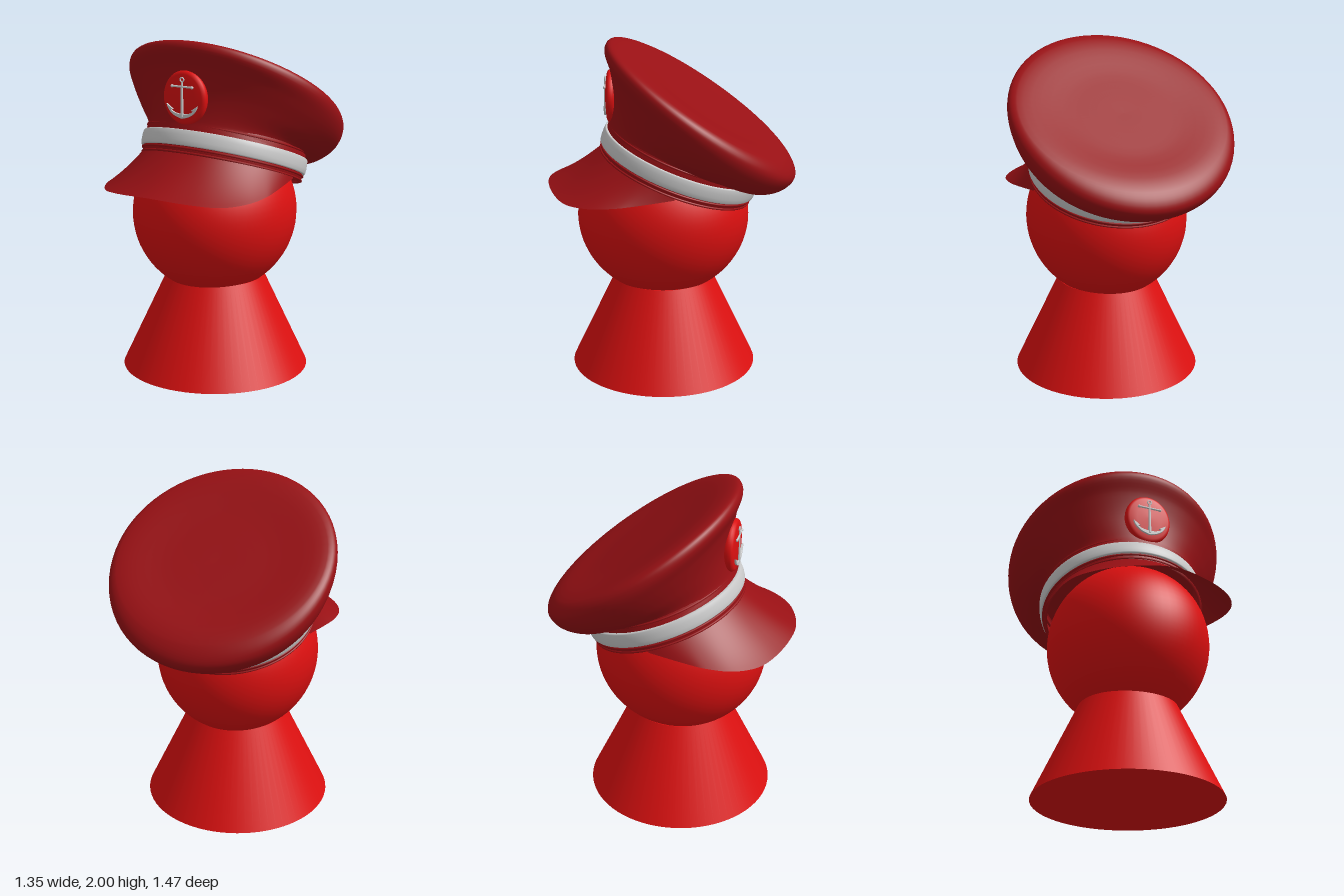
import * as THREE from 'three';

const RED = new THREE.MeshStandardMaterial({ color: 0xdd1010 });
const DARK = new THREE.MeshStandardMaterial({ color: 0x981014, side: THREE.DoubleSide });
const GREY = new THREE.MeshStandardMaterial({ color: 0xcccccc });

function add(parent, name, geometry, material, x = 0, y = 0, z = 0) {
  const mesh = new THREE.Mesh(geometry, material);
  mesh.name = name;
  mesh.position.set(x, y, z);
  parent.add(mesh);
  return mesh;
}

// Surface through a grid of points; point(i, j) returns [x, y, z]
function gridSurface(rows, cols, wrap, point) {
  const pos = [], index = [];
  const stride = wrap ? cols : cols + 1;
  for (let i = 0; i <= rows; i++)
    for (let j = 0; j < stride; j++) pos.push(...point(i / rows, j / cols));
  for (let i = 0; i < rows; i++)
    for (let j = 0; j < cols; j++) {
      const k = (j + 1) % stride;
      const a = i * stride + j, b = i * stride + k;
      index.push(a, b, b + stride, a, b + stride, a + stride);
    }
  const g = new THREE.BufferGeometry();
  g.setAttribute('position', new THREE.Float32BufferAttribute(pos, 3));
  g.setIndex(index);
  g.computeVertexNormals();
  return g;
}

const spline = (pts) => new THREE.CatmullRomCurve3(pts.map((p) => new THREE.Vector3(...p)));
const lathe = (pts) => new THREE.LatheGeometry(pts.map((p) => new THREE.Vector2(...p)), 72);

// Flaring crown: tilted rings, each [front z, front y, back z, back y, half width]
function crownGeometry() {
  const rings = [
    [0.38, 1.5, -0.49, 1.17, 0.485],
    [0.364, 1.55, -0.51, 1.165, 0.482],
    [0.345, 1.7, -0.575, 1.122, 0.565],
    [0.36, 1.85, -0.68, 1.15, 0.645],
    [0.39, 1.962, -0.732, 1.205, 0.673],
    [0.368, 1.998, -0.73, 1.25, 0.668],
    [0.3, 1.982, -0.68, 1.33, 0.625],
    [0.05, 1.808, -0.45, 1.475, 0.32],
    [-0.19, 1.645, -0.19, 1.645, 0],
  ];
  const front = spline(rings.map((r) => [r[4], r[1], r[0]]));
  const back = spline(rings.map((r) => [r[4], r[3], r[2]]));
  return gridSurface(48, 72, true, (u, v) => {
    const f = front.getPoint(u), b = back.getPoint(u);
    const a = v * Math.PI * 2, t = (1 + Math.cos(a)) / 2;
    return [f.x * Math.sin(a), b.y + (f.y - b.y) * t, b.z + (f.z - b.z) * t];
  });
}

// Visor: from the lower rim of the cap out to a squarish drooping edge
function visorGeometry(cap) {
  const half = [
    [0.495, 1.195, -0.02], [0.512, 1.165, 0.2], [0.516, 1.152, 0.32],
    [0.488, 1.14, 0.47], [0.4, 1.135, 0.6], [0.25, 1.148, 0.685],
  ];
  const mirrored = half.map(([x, y, z]) => [-x, y, z]);
  const edge = spline([...mirrored, [0, 1.165, 0.737], ...half.reverse()]);
  cap.updateMatrix();
  return gridSurface(12, 64, false, (u, v) => {
    const a = (v - 0.5) * Math.PI;
    const inner = new THREE.Vector3(0.49 * Math.sin(a), -0.035, 0.478 * Math.cos(a)).applyMatrix4(cap.matrix);
    const p = edge.getPoint(v).lerp(inner, u);
    const sag = 0.07 * u * (1 - u) * Math.cos(a);
    return [p.x, p.y - sag, p.z];
  });
}

function anchorGroup() {
  const g = new THREE.Group();
  g.name = 'anchor';
  add(g, 'anchorRing', new THREE.TorusGeometry(0.012, 0.004, 8, 24), GREY, 0, 0.107, 0);
  add(g, 'anchorShank', new THREE.CylinderGeometry(0.006, 0.01, 0.2, 12), GREY, 0, -0.003, 0);
  add(g, 'anchorStock', new THREE.CylinderGeometry(0.006, 0.006, 0.136, 12), GREY, 0, 0.067, 0)
    .rotation.z = Math.PI / 2;
  for (const s of [-1, 1])
    add(g, 'stockEnd', new THREE.SphereGeometry(0.009, 12, 8), GREY, s * 0.068, 0.067, 0);
  // Curved arms with pointed flukes
  const arms = new THREE.Shape();
  arms.moveTo(-0.103, -0.038);
  arms.quadraticCurveTo(-0.085, -0.1, 0, -0.114);
  arms.quadraticCurveTo(0.085, -0.1, 0.103, -0.038);
  arms.lineTo(0.064, -0.064);
  arms.lineTo(0.078, -0.068);
  arms.quadraticCurveTo(0.055, -0.09, 0, -0.092);
  arms.quadraticCurveTo(-0.055, -0.09, -0.078, -0.068);
  arms.lineTo(-0.064, -0.064);
  arms.closePath();
  add(g, 'anchorArms', new THREE.ExtrudeGeometry(arms, {
    depth: 0.008, bevelEnabled: true, bevelSize: 0.002, bevelThickness: 0.002, bevelSegments: 2,
  }), GREY, 0, 0, -0.005);
  return g;
}

export function createModel() {
  const model = new THREE.Group();
  model.name = 'cappedFigure';

  // Body and head
  add(model, 'body', new THREE.CylinderGeometry(0.295, 0.56, 0.565, 72), RED, 0, 0.2825, 0.05);
  add(model, 'head', new THREE.SphereGeometry(1, 64, 40), RED, 0, 0.955, 0.052).scale.set(0.48, 0.49, 0.513);

  // Tilted cap base: stand, grey band and piping
  const cap = new THREE.Group();
  cap.name = 'capBase';
  cap.position.set(0, 1.244, -0.032);
  cap.rotation.x = -0.357;
  cap.scale.set(1, 1, 0.965);
  model.add(cap);
  add(cap, 'stand', lathe([[0.47, -0.045], [0.487, -0.045], [0.49, 0.02], [0.488, 0.14], [0.47, 0.16]]), DARK);
  add(cap, 'band', lathe([
    [0.485, 0], [0.499, 0], [0.504, 0.006], [0.507, 0.03], [0.507, 0.06], [0.504, 0.086], [0.499, 0.092], [0.485, 0.092],
  ]), GREY);
  for (const [r, y] of [[0.487, -0.038], [0.491, -0.012], [0.486, 0.125]])
    add(cap, 'piping', new THREE.TorusGeometry(r, 0.007, 8, 72), DARK, 0, y, 0).rotation.x = Math.PI / 2;

  add(model, 'crown', crownGeometry(), DARK);
  add(model, 'visor', visorGeometry(cap), DARK);

  // Front badge
  const badge = add(model, 'badge', lathe([
    [0, -0.03], [0.136, -0.03], [0.143, -0.01], [0.143, 0.008], [0.138, 0.018], [0.125, 0.025], [0.08, 0.031], [0, 0.034],
  ]), RED, 0, 1.675, 0.355);
  badge.rotation.x = Math.PI / 2;
  badge.scale.z = 1.09;
  const anchor = anchorGroup();
  anchor.position.set(0, 1.675, 0.39);
  model.add(anchor);

  return model;
}
